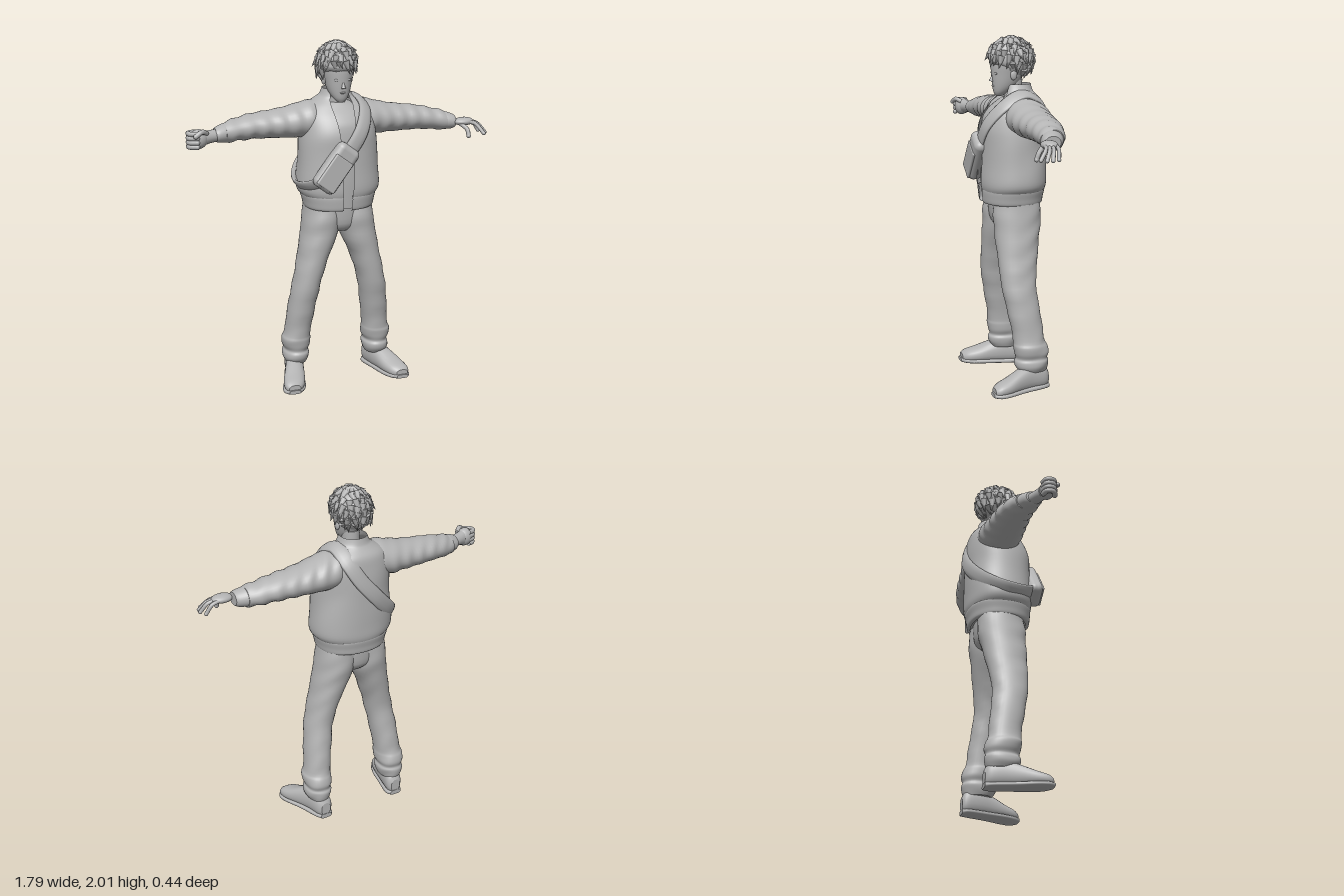
import * as THREE from 'three';
import { RoundedBoxGeometry } from 'three/addons/geometries/RoundedBoxGeometry.js';

const clay = new THREE.MeshStandardMaterial({ color: 0xb4b4b4, side: THREE.DoubleSide });
clay.name = 'clay grey';

function add(parent, name, geometry) {
  const mesh = new THREE.Mesh(geometry, clay);
  mesh.name = name;
  parent.add(mesh);
  return mesh;
}

// Catmull-Rom blend between profile rows
function refine(rows, sub) {
  const out = [];
  for (let i = 0; i < rows.length - 1; i++) {
    const [p, q, r, s] = [-1, 0, 1, 2].map(k => rows[Math.min(Math.max(i + k, 0), rows.length - 1)]);
    for (let k = 0; k < sub; k++) {
      const t = k / sub;
      out.push(q.map((b, c) => b + 0.5 * t * (r[c] - p[c] +
        t * (2 * p[c] - 5 * b + 4 * r[c] - s[c] + t * (3 * (b - r[c]) + s[c] - p[c])))));
    }
  }
  out.push(rows[rows.length - 1]);
  return out;
}

// Skin over cross-sections. Row: [along, centreA, centreB, radiusA, radiusB, frontGap]
function loft(rows, { axis = 'y', n = 32, power = 2, fold = 0, freq = 60, sub = 4, open = false } = {}) {
  const data = refine(rows, sub), pos = [], idx = [];
  const flip = (axis !== 'y') !== (rows[rows.length - 1][0] < rows[0][0]);
  const place = (t, a, b) => pos.push(...(axis === 'y' ? [a, t, b] : axis === 'x' ? [t, a, b] : [a, b, t]));
  const tri = (a, b, c) => idx.push(a, flip ? c : b, flip ? b : c);
  const stride = open ? n + 1 : n;
  const ring = ([t, ca, cb, ra, rb, gap = 0]) => {
    for (let j = 0; j < stride; j++) {
      const u = Math.PI / 2 + gap + (j / n) * (Math.PI * 2 - 2 * gap);
      const c = Math.cos(u), s = Math.sin(u);
      const e = Math.pow(Math.abs(c) ** power + Math.abs(s) ** power, -1 / power);
      const w = fold * Math.sin(t * freq + 2 * Math.sin(u) + 1.3 * Math.cos(2 * u)) * (0.6 + 0.4 * Math.cos(u * 2 + t * 9));
      place(t, ca + (ra + w) * c * e, cb + (rb + w) * s * e);
    }
  };
  data.forEach(ring);
  for (let i = 0; i < data.length - 1; i++) for (let j = 0; j < n; j++) {
    const a = i * stride + j, b = i * stride + (j + 1) % stride;
    tri(a, a + stride, b);
    tri(b, a + stride, b + stride);
  }
  if (!open) [data[0], data[data.length - 1]].forEach((row, end) => {
    const base = pos.length / 3;
    ring(row);
    place(row[0], row[1], row[2]);
    for (let j = 0; j < n; j++) {
      const a = base + j, b = base + (j + 1) % n;
      end ? tri(base + n, b, a) : tri(base + n, a, b);
    }
  });
  const g = new THREE.BufferGeometry();
  g.setAttribute('position', new THREE.Float32BufferAttribute(pos, 3));
  g.setIndex(idx);
  g.computeVertexNormals();
  return g;
}

const V = (x, y, z) => new THREE.Vector3(x, y, z);
const ball = (x, y, z, a, b, c) => new THREE.SphereGeometry(1, 24, 16).scale(a, b, c).translate(x, y, z);

// Rounded finger through a few points
function finger(parent, name, points, r) {
  add(parent, name, new THREE.TubeGeometry(new THREE.CatmullRomCurve3(points), 10, r, 8));
  const end = points[points.length - 1];
  add(parent, name + 'Tip', ball(end.x, end.y, end.z, r, r, r));
}

// Flat closed belt around the body
function belt(points, halfWidth, thick) {
  const curve = new THREE.CatmullRomCurve3(points, true), n = 80, m = 10, pos = [], idx = [];
  for (let i = 0; i < n; i++) {
    const p = curve.getPointAt(i / n), t = curve.getTangentAt(i / n);
    const out = p.clone().sub(V(0, 1.42, -0.02));
    out.addScaledVector(t, -out.dot(t)).normalize();
    const w = new THREE.Vector3().crossVectors(t, out);
    for (let j = 0; j < m; j++) {
      const u = j / m * Math.PI * 2;
      const q = p.clone().addScaledVector(w, halfWidth * Math.cos(u)).addScaledVector(out, thick * Math.sin(u));
      pos.push(q.x, q.y, q.z);
      const a = i * m + j, b = i * m + (j + 1) % m, c = (i + 1) % n * m + j, d = (i + 1) % n * m + (j + 1) % m;
      idx.push(a, c, b, b, c, d);
    }
  }
  const g = new THREE.BufferGeometry();
  g.setAttribute('position', new THREE.Float32BufferAttribute(pos, 3));
  g.setIndex(idx);
  g.computeVertexNormals();
  return g;
}

export function createModel() {
  const model = new THREE.Group();
  model.name = 'standingFigure';

  // Trousers and shoes
  add(model, 'hips', loft([[0.92, 0, -0.02, 0.08, 0.09], [0.97, 0, -0.022, 0.165, 0.125], [1.1, 0, -0.022, 0.19, 0.135]]));
  for (const s of [1, -1]) {
    const side = s > 0 ? 'left' : 'right';
    const put = rows => rows.map(([t, x, ...rest]) => [t, s * x, ...rest]);
    add(model, side + 'TrouserLeg', loft(put([
      [0.11, 0.25, -0.065, 0.06, 0.08], [0.14, 0.252, -0.06, 0.072, 0.095], [0.17, 0.25, -0.06, 0.075, 0.1],
      [0.19, 0.25, -0.06, 0.068, 0.092], [0.22, 0.25, -0.057, 0.08, 0.1], [0.26, 0.25, -0.05, 0.082, 0.098],
      [0.3, 0.243, -0.045, 0.074, 0.09], [0.45, 0.225, -0.022, 0.077, 0.094], [0.6, 0.2, 0, 0.078, 0.1],
      [0.75, 0.162, -0.005, 0.085, 0.114], [0.9, 0.117, -0.015, 0.104, 0.13], [1.0, 0.1, -0.022, 0.107, 0.138],
      [1.08, 0.09, -0.022, 0.108, 0.13]]), { power: 2.2, fold: 0.003, freq: 45 }));
    add(model, side + 'Shoe', loft(put([
      [-0.158, 0.245, 0.06, 0.03, 0.04], [-0.13, 0.247, 0.072, 0.05, 0.068], [-0.05, 0.262, 0.078, 0.055, 0.074],
      [0.02, 0.283, 0.068, 0.059, 0.064], [0.1, 0.31, 0.05, 0.065, 0.046], [0.16, 0.327, 0.04, 0.057, 0.035],
      [0.19, 0.334, 0.034, 0.035, 0.022]]), { axis: 'z', power: 2.4, n: 24 }));
    add(model, side + 'Sole', loft(put([
      [-0.16, 0.245, 0.014, 0.035, 0.014], [-0.12, 0.247, 0.014, 0.054, 0.014], [0, 0.278, 0.014, 0.06, 0.014],
      [0.1, 0.31, 0.014, 0.07, 0.014], [0.16, 0.328, 0.014, 0.062, 0.014], [0.198, 0.335, 0.016, 0.034, 0.011]]),
      { axis: 'z', power: 4, n: 24 }));

    // Sleeves and cuffs
    const lift = x => s > 0 ? 0 : 0.035 * x;
    const arm = rows => rows.map(([x, y, ...rest]) => [s * x, y + lift(x), ...rest]);
    add(model, side + 'Sleeve', loft(arm([
      [0.08, 1.575, -0.055, 0.09, 0.1], [0.14, 1.563, -0.055, 0.105, 0.12], [0.22, 1.553, -0.055, 0.098, 0.122],
      [0.3, 1.543, -0.055, 0.086, 0.114], [0.4, 1.535, -0.055, 0.077, 0.104], [0.5, 1.528, -0.052, 0.07, 0.094],
      [0.6, 1.513, -0.04, 0.062, 0.08], [0.66, 1.503, -0.025, 0.055, 0.068]]), { axis: 'x', fold: 0.0045, freq: 70, sub: 6 }));
    add(model, side + 'Cuff', loft(arm([
      [0.645, 1.505, -0.028, 0.05, 0.06], [0.66, 1.503, -0.024, 0.053, 0.064], [0.7, 1.498, -0.012, 0.045, 0.056],
      [0.718, 1.498, -0.008, 0.036, 0.045]]), { axis: 'x' }));
  }

  // Shirt and open jacket
  add(model, 'shirt', loft([
    [1.07, 0, -0.015, 0.18, 0.155], [1.25, 0, -0.02, 0.215, 0.17], [1.5, 0, -0.025, 0.2, 0.168],
    [1.58, 0, -0.035, 0.18, 0.148], [1.635, 0, -0.05, 0.12, 0.108], [1.66, 0, -0.045, 0.062, 0.075]], { power: 2.3 }));
  add(model, 'jacket', loft([
    [1.13, 0, -0.018, 0.21, 0.178, 0.12], [1.17, 0, -0.02, 0.236, 0.188, 0.12], [1.25, 0, -0.02, 0.238, 0.189, 0.13],
    [1.4, 0, -0.022, 0.225, 0.185, 0.16], [1.5, 0, -0.025, 0.218, 0.183, 0.2], [1.58, 0, -0.037, 0.208, 0.162, 0.26],
    [1.64, 0, -0.055, 0.175, 0.13, 0.36], [1.68, 0, -0.058, 0.115, 0.095, 0.52], [1.7, 0, -0.055, 0.09, 0.085, 0.6],
    [1.735, 0, -0.055, 0.074, 0.078, 0.75]], { open: true, n: 56, power: 2.3, fold: 0.003, freq: 22 }));
  add(model, 'jacketHem', loft([
    [1.06, 0, -0.015, 0.18, 0.155, 0.12], [1.065, 0, -0.015, 0.198, 0.172, 0.12], [1.1, 0, -0.015, 0.207, 0.178, 0.12],
    [1.14, 0, -0.018, 0.217, 0.183, 0.12], [1.15, 0, -0.018, 0.208, 0.174, 0.12]], { open: true, n: 48, power: 2.3 }));

  // Cross-body bag and strap
  add(model, 'bagStrap', belt([
    V(0.115, 1.685, -0.06), V(0.135, 1.63, 0.06), V(0.085, 1.52, 0.15), V(0, 1.4, 0.17), V(-0.1, 1.28, 0.172),
    V(-0.2, 1.21, 0.1), V(-0.24, 1.2, -0.02), V(-0.205, 1.25, -0.13), V(-0.08, 1.38, -0.205),
    V(0.04, 1.52, -0.207), V(0.1, 1.63, -0.165)], 0.045, 0.013));
  const bag = new THREE.Group();
  bag.name = 'bag';
  bag.position.set(-0.075, 1.32, 0.165);
  bag.rotation.z = 0.92;
  add(bag, 'bagBody', new RoundedBoxGeometry(0.29, 0.145, 0.085, 5, 0.035));
  add(bag, 'bagFlap', new RoundedBoxGeometry(0.2, 0.12, 0.02, 3, 0.009)).position.set(-0.03, 0, 0.037);
  model.add(bag);

  // Open left hand
  add(model, 'leftPalm', ball(0.765, 1.498, 0.03, 0.062, 0.024, 0.044));
  [[0.835, 0.005, 0.868, 0.015], [0.845, 0.035, 0.885, 0.053], [0.84, 0.055, 0.88, 0.083], [0.825, 0.07, 0.86, 0.11]]
    .forEach(([mx, mz, ex, ez], i) => finger(model, 'leftFinger' + (i + 1),
      [V(0.775, 1.5, 0.005 + i * 0.017), V(mx, 1.485, mz), V(ex, 1.435, ez)], 0.011));
  finger(model, 'leftThumb', [V(0.735, 1.49, 0.05), V(0.765, 1.46, 0.085), V(0.768, 1.425, 0.1)], 0.013);

  // Closed right hand
  add(model, 'rightWrist', loft([[-0.7, 1.52, -0.008, 0.035, 0.042], [-0.76, 1.518, 0.015, 0.036, 0.038],
    [-0.8, 1.515, 0.03, 0.045, 0.038]], { axis: 'x', n: 20 }));
  add(model, 'rightFist', ball(-0.82, 1.515, 0.035, 0.052, 0.054, 0.042));
  for (let i = 0; i < 4; i++) {
    const y = 1.55 - i * 0.024;
    finger(model, 'rightFinger' + (i + 1), [V(-0.83, y, 0.005), V(-0.872, y, 0.02), V(-0.872, y, 0.055), V(-0.835, y, 0.072)], 0.014);
  }
  finger(model, 'rightThumb', [V(-0.775, 1.545, 0.045), V(-0.81, 1.56, 0.075), V(-0.845, 1.54, 0.085)], 0.014);

  // Neck, head and face
  add(model, 'neck', loft([[1.6, 0, -0.035, 0.06, 0.06], [1.67, 0, -0.03, 0.048, 0.052], [1.76, 0, -0.025, 0.05, 0.06]]));
  add(model, 'head', loft([
    [1.668, -0.005, 0.05, 0.018, 0.02], [1.69, -0.005, 0.04, 0.04, 0.042], [1.73, -0.005, 0.017, 0.062, 0.072],
    [1.79, -0.005, 0, 0.078, 0.094], [1.87, -0.005, -0.01, 0.09, 0.105], [1.95, -0.005, -0.015, 0.065, 0.08]], { power: 2.1 }));
  const nose = add(model, 'nose', new THREE.ConeGeometry(0.013, 0.05, 12));
  nose.position.set(-0.005, 1.775, 0.092);
  nose.rotation.x = -0.25;
  add(model, 'lips', ball(-0.005, 1.725, 0.085, 0.018, 0.006, 0.008));
  for (const s of [1, -1]) {
    add(model, 'eye', ball(-0.005 + s * 0.033, 1.797, 0.081, 0.016, 0.008, 0.007));
    add(model, 'ear', ball(-0.005 + s * 0.08, 1.79, -0.01, 0.012, 0.03, 0.02));
  }

  // Hair cap, tucked behind the face, with layered locks
  const cap = ball(0, 0, 0, 0.106, 0.117, 0.127), p = cap.attributes.position;
  for (let i = 0; i < p.count; i++) if (p.getY(i) < -0.03) p.setZ(i, Math.min(p.getZ(i), 0.035));
  cap.computeVertexNormals();
  const centre = V(-0.006, 1.873, -0.02);
  add(model, 'hairCap', cap).position.copy(centre);
  let seed = 7;
  const rnd = () => (seed = (seed * 16807) % 2147483647) / 2147483647 - 0.5;
  [[0.15, 6], [0.5, 10], [0.85, 14], [1.15, 17], [1.4, 18], [1.75, 18], [2.05, 16]].forEach(([polar, count], ringNo) => {
    for (let i = 0; i < count; i++) {
      const a = (i + 0.5 * (ringNo % 2) + 0.5 * rnd()) / count * Math.PI * 2, q = polar + 0.15 * rnd();
      const out = V(Math.sin(q) * Math.cos(a), Math.cos(q), Math.sin(q) * Math.sin(a));
      if (polar > 1.45 && out.z > (polar > 2 ? -0.1 : 0.35)) continue;
      const dir = V(Math.cos(q) * Math.cos(a), -Math.sin(q), Math.cos(q) * Math.sin(a))
        .addScaledVector(out, 0.02 + 0.12 * rnd()).add(V(0.7 * rnd(), 0, 0.5 * rnd())).normalize();
      const length = 0.075 + 0.025 * rnd();
      const lock = add(model, 'hairLock', new THREE.ConeGeometry(0.023, length, 7).translate(0, length * 0.4, 0));
      lock.position.copy(out).multiply(V(0.102, 0.112, 0.123)).add(centre);
      lock.quaternion.setFromUnitVectors(V(0, 1, 0), dir);
    }
  });
  return model;
}
